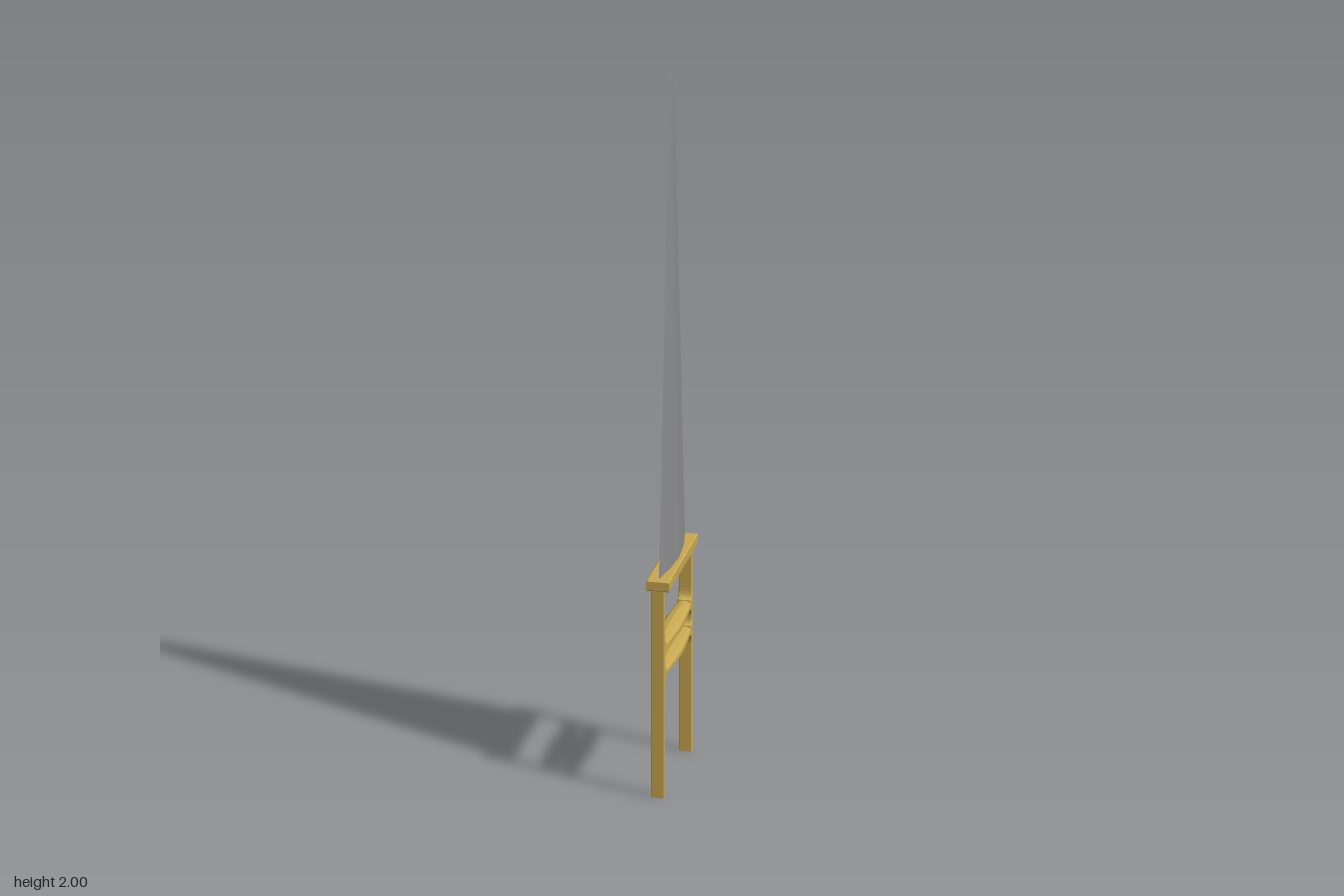
import * as THREE from 'three';

const gold = new THREE.MeshStandardMaterial({ color: 0xc8a850, flatShading: true });
const steel = new THREE.MeshStandardMaterial({ color: 0x8c8c8c, flatShading: true });

function mesh(name, geometry, material) {
  const m = new THREE.Mesh(geometry, material);
  m.name = name;
  return m;
}

// Tapering blade lofted from eight-sided lens sections
function bladeGeometry() {
  const rings = [ // height, half width, half thickness
    [0.61, 0.16, 0.019], [1.04, 0.118, 0.0135], [1.47, 0.076, 0.008], [1.89, 0.035, 0.003],
    [1.93, 0.028, 0.0024], [1.965, 0.018, 0.0016], [1.988, 0.009, 0.001], [2.0, 0.001, 0.0003],
  ];
  const section = [[0, 1], [0.7, 0.5], [1, 0], [0.7, -0.5], [0, -1], [-0.7, -0.5], [-1, 0], [-0.7, 0.5]];
  const n = section.length, pos = [], idx = [];
  for (const [y, w, t] of rings) for (const [sx, sz] of section) pos.push(sx * t, y, sz * w);
  for (let r = 0; r < rings.length - 1; r++) {
    for (let i = 0; i < n; i++) {
      const a = r * n + i, b = r * n + (i + 1) % n;
      idx.push(a, b, b + n, a, b + n, a + n);
    }
  }
  const top = (rings.length - 1) * n;
  for (let i = 1; i < n - 1; i++) idx.push(0, i + 1, i, top, top + i, top + i + 1);
  const g = new THREE.BufferGeometry();
  g.setAttribute('position', new THREE.Float32BufferAttribute(pos, 3));
  g.setIndex(idx);
  g.computeVertexNormals();
  return g;
}

// Crossguard plate with small notches either side of its middle
function guardGeometry() {
  const b = 0.003, x = 0.031 - b, z = 0.177 - b, c = 0.024, d = 0.003;
  const side = [[x, -z], [x, -c - d], [x - d, -c], [x, -c + d], [x, c - d], [x - d, c], [x, c + d], [x, z]];
  const outline = [...side, ...side.map(([px, pz]) => [-px, -pz])];
  const shape = new THREE.Shape(outline.map(([px, pz]) => new THREE.Vector2(px, pz)));
  const g = new THREE.ExtrudeGeometry(shape, {
    depth: 0.03 - 2 * b, bevelEnabled: true, bevelThickness: b, bevelSize: b, bevelSegments: 1,
  });
  g.rotateX(-Math.PI / 2);
  g.translate(0, 0.586 + b, 0);
  return g;
}

// Side bar, flaring inward where the grips join
function sideBarGeometry() {
  const b = 0.002, outer = 0.175 - b, inner = 0.162 + b, tip = 0.15;
  const s = new THREE.Shape();
  s.moveTo(outer, b);
  s.lineTo(outer, 0.59);
  s.lineTo(inner - 0.006, 0.59);
  s.quadraticCurveTo(inner, 0.587, inner, 0.575);
  s.lineTo(inner, 0.465);
  s.quadraticCurveTo(inner, 0.438, tip, 0.434);
  s.lineTo(tip, 0.408);
  s.quadraticCurveTo(inner, 0.405, inner, 0.385);
  s.quadraticCurveTo(inner, 0.364, tip, 0.361);
  s.lineTo(tip, 0.335);
  s.quadraticCurveTo(inner, 0.331, inner, 0.305);
  s.lineTo(inner, b);
  const g = new THREE.ExtrudeGeometry(s, {
    depth: 0.036 - 2 * b, bevelEnabled: true, bevelThickness: b, bevelSize: b, bevelSegments: 1, curveSegments: 5,
  });
  g.translate(0, 0, -0.018 + b);
  g.rotateY(-Math.PI / 2);
  return g;
}

// Grip bar, swelling towards the middle
function gripGeometry() {
  const half = [[0.158, 0.013], [0.148, 0.0135], [0.1, 0.0165], [0.05, 0.019]];
  const profile = [
    [0, -0.158], ...half.map(([z, r]) => [r, -z]), [0.02, 0],
    ...half.slice().reverse().map(([z, r]) => [r, z]), [0, 0.158],
  ].map(([r, z]) => new THREE.Vector2(r, z));
  const g = new THREE.LatheGeometry(profile, 10);
  g.rotateX(Math.PI / 2);
  g.scale(1.4, 1, 1);
  return g;
}

export function createModel() {
  const model = new THREE.Group();
  model.name = 'punchDagger';
  model.add(mesh('blade', bladeGeometry(), steel));
  model.add(mesh('crossguard', guardGeometry(), gold));

  const barGeo = sideBarGeometry();
  const frontBar = mesh('frontSideBar', barGeo, gold);
  const backBar = mesh('backSideBar', barGeo, gold);
  backBar.rotation.y = Math.PI;
  model.add(frontBar, backBar);

  const gripGeo = gripGeometry();
  for (const [name, y] of [['upperGrip', 0.421], ['lowerGrip', 0.348]]) {
    const grip = mesh(name, gripGeo, gold);
    grip.position.y = y;
    model.add(grip);
  }
  return model;
}
